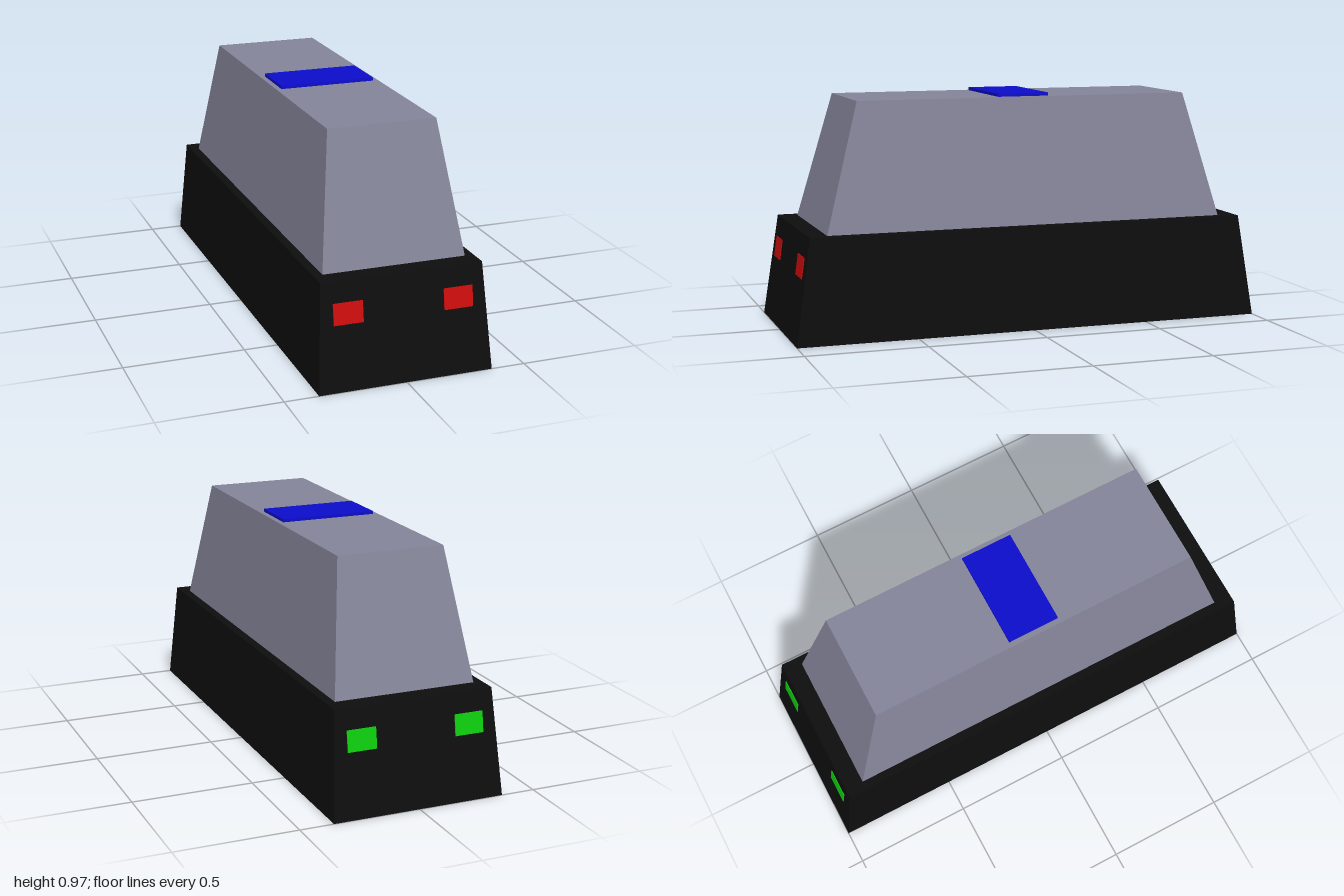
import * as THREE from 'three';

const paint = (name, color) => {
  const m = new THREE.MeshStandardMaterial({ color });
  m.name = name;
  return m;
};

// Box standing on y = 0 whose top is scaled in x and z
function taperedBox(width, height, depth, topX, topZ) {
  const geo = new THREE.BoxGeometry(width, height, depth).translate(0, height / 2, 0);
  const p = geo.attributes.position;
  for (let i = 0; i < p.count; i++) {
    if (p.getY(i) > height / 2) {
      p.setX(i, p.getX(i) * topX);
      p.setZ(i, p.getZ(i) * topZ);
    }
  }
  geo.computeVertexNormals();
  return geo;
}

export function createModel() {
  const black = paint('body black', 0x0e0e0e);
  const grey = paint('cabin grey', 0x848499);
  const blue = paint('roof blue', 0x0d0dcc);
  const red = paint('front red', 0xcc0d0d);
  const green = paint('rear green', 0x0dcc0d);

  const model = new THREE.Group();
  model.name = 'vehicle';
  const add = (name, geo, mat, parent = model) => {
    const mesh = new THREE.Mesh(geo, mat);
    mesh.name = name;
    parent.add(mesh);
    return mesh;
  };

  // Lower body
  const baseH = 0.432, baseTopZ = 0.936;
  add('lowerBody', taperedBox(0.72, baseH, 2, 0.333 / 0.36, baseTopZ), black);

  // Cabin
  const cabin = taperedBox(0.592, 0.96 - baseH, 1.716, 0.225 / 0.296, 0.714 / 0.858);
  add('cabin', cabin, grey).position.y = baseH;

  // Roof panel
  add('roofPanel', new THREE.BoxGeometry(0.406, 0.013, 0.22), blue).position.y = 0.9665;

  // Lamps lie flush on the sloping end faces
  const slope = Math.atan((1 - baseTopZ) / baseH);
  const lampY = 0.304;
  const lampZ = 1 - (1 - baseTopZ) * lampY / baseH;
  const lampGeo = new THREE.BoxGeometry(0.121, 0.085 / Math.cos(slope), 0.006);
  for (const [end, mat, turn] of [['front', red, 0], ['rear', green, Math.PI]]) {
    const lamps = new THREE.Group();
    lamps.name = end + 'Lamps';
    lamps.rotation.y = turn;
    for (const side of [-1, 1]) {
      const lamp = add(end + 'Lamp', lampGeo, mat, lamps);
      lamp.position.set(side * 0.2275, lampY, lampZ);
      lamp.rotation.x = -slope;
    }
    model.add(lamps);
  }
  return model;
}
